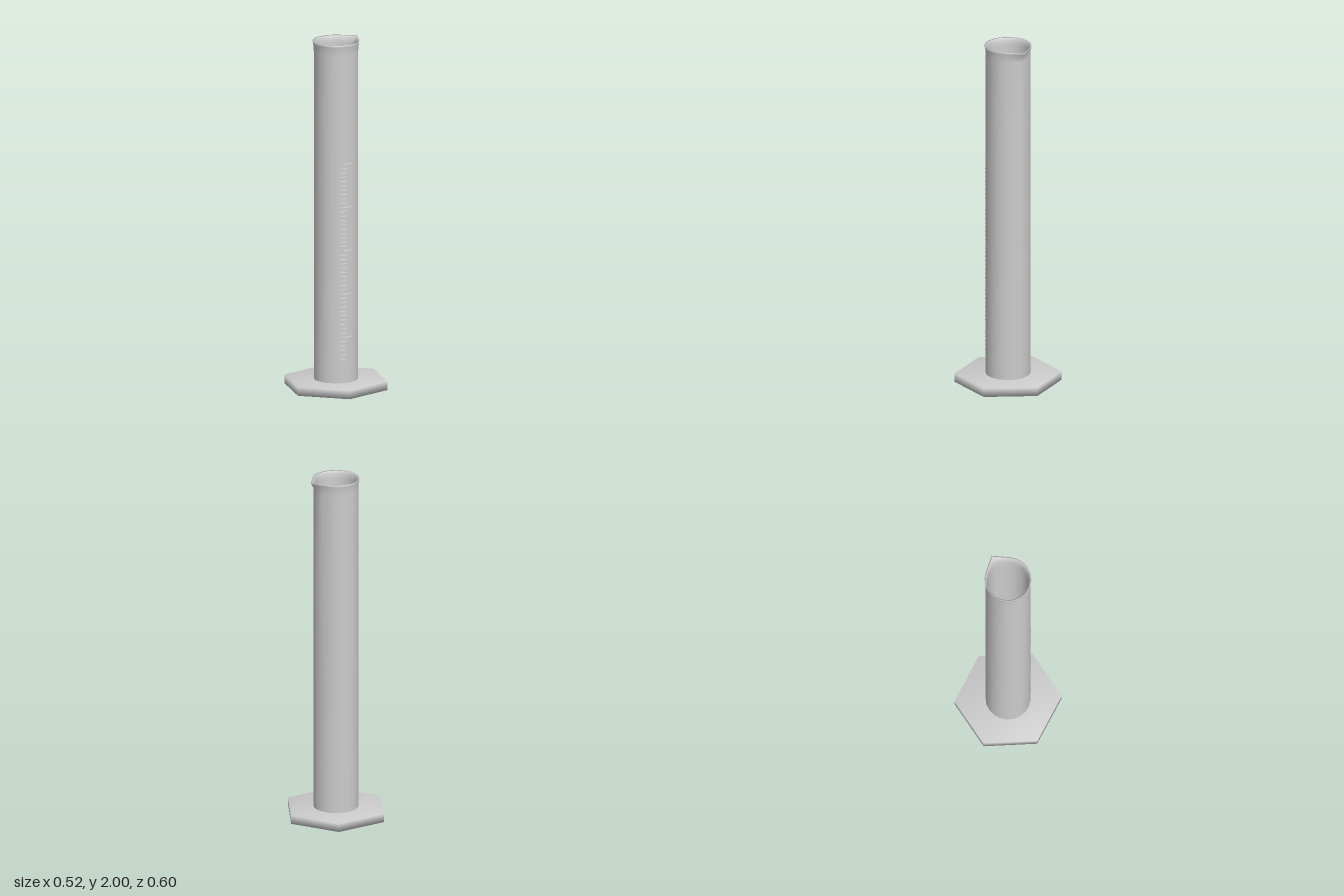
import * as THREE from 'three';
import { mergeVertices } from 'three/addons/utils/BufferGeometryUtils.js';

const SIDES = 20;

// Radius of a round section drawn out to a point at distance tip, off = angle from the point
function spoutRadius(r, tip, off) {
  if (tip <= r) return r;
  const touch = Math.acos(r / tip);
  return off < touch ? r / Math.cos(touch - off) : r;
}

// Skin through rows of [radius, height, spout tip distance]
function spoutedTube(rows) {
  const pos = [], index = [];
  rows.forEach(([r, y, tip], i) => {
    for (let j = 0; j < SIDES; j++) {
      const a = (j / SIDES) * Math.PI * 2;
      const rad = spoutRadius(r, tip, Math.abs(a - Math.PI));
      pos.push(Math.sin(a) * rad, y, Math.cos(a) * rad);
      if (i < rows.length - 1) {
        const p = i * SIDES + j, q = i * SIDES + (j + 1) % SIDES;
        index.push(p, q, q + SIDES, p, q + SIDES, p + SIDES);
      }
    }
  });
  const g = new THREE.BufferGeometry();
  g.setAttribute('position', new THREE.Float32BufferAttribute(pos, 3));
  g.setIndex(index);
  g.computeVertexNormals();
  return g;
}

export function createModel() {
  const group = new THREE.Group();
  const grey = new THREE.MeshStandardMaterial({ color: 0xcccccc });
  grey.name = 'cylinder grey';
  const pale = new THREE.MeshStandardMaterial({ color: 0xe4e4e4, side: THREE.DoubleSide });
  pale.name = 'mark pale grey';

  const add = (name, geometry, material, parent = group) => {
    const mesh = new THREE.Mesh(geometry, material);
    mesh.name = name;
    parent.add(mesh);
    return mesh;
  };

  // Hexagonal foot with softly shaded edges
  let foot = new THREE.CylinderGeometry(0.3, 0.3, 0.05, 6);
  foot.deleteAttribute('normal');
  foot.deleteAttribute('uv');
  foot = mergeVertices(foot, 1e-4);
  foot.computeVertexNormals();
  add('foot', foot, grey).position.y = 0.025;

  // Outer wall, flared lip with pouring spout, inner wall
  add('tube', spoutedTube([
    [0.126, 0.003, 0.128],
    [0.126, 0.7, 0.131],
    [0.126, 1.4, 0.135],
    [0.126, 1.94, 0.14],
    [0.127, 1.97, 0.15],
    [0.131, 1.99, 0.162],
    [0.132, 2.0, 0.168],
    [0.126, 1.997, 0.158],
    [0.12, 1.985, 0.146],
    [0.116, 1.96, 0.133],
    [0.115, 1.88, 0.128],
    [0.115, 0.055, 0.116],
  ]), grey);

  // Inside floor
  const floor = add('insideFloor', new THREE.CircleGeometry(0.118, SIDES), grey);
  floor.rotation.x = -Math.PI / 2;
  floor.position.y = 0.056;

  // Scale of short marks with a long one every tenth
  const scale = new THREE.Group();
  scale.name = 'scale';
  group.add(scale);
  const mark = (from, to) =>
    new THREE.CylinderGeometry(0.1275, 0.1275, 0.005, 4, 1, true, from, to - from);
  const shortMark = mark(0.98, 1.24), longMark = mark(1.11, 1.57);
  for (let i = 0; i <= 45; i++) {
    const long = i % 10 === 5;
    add(long ? 'longMark' : 'shortMark', long ? longMark : shortMark, pale, scale)
      .position.y = 0.19 + i * 0.025;
  }
  return group;
}
